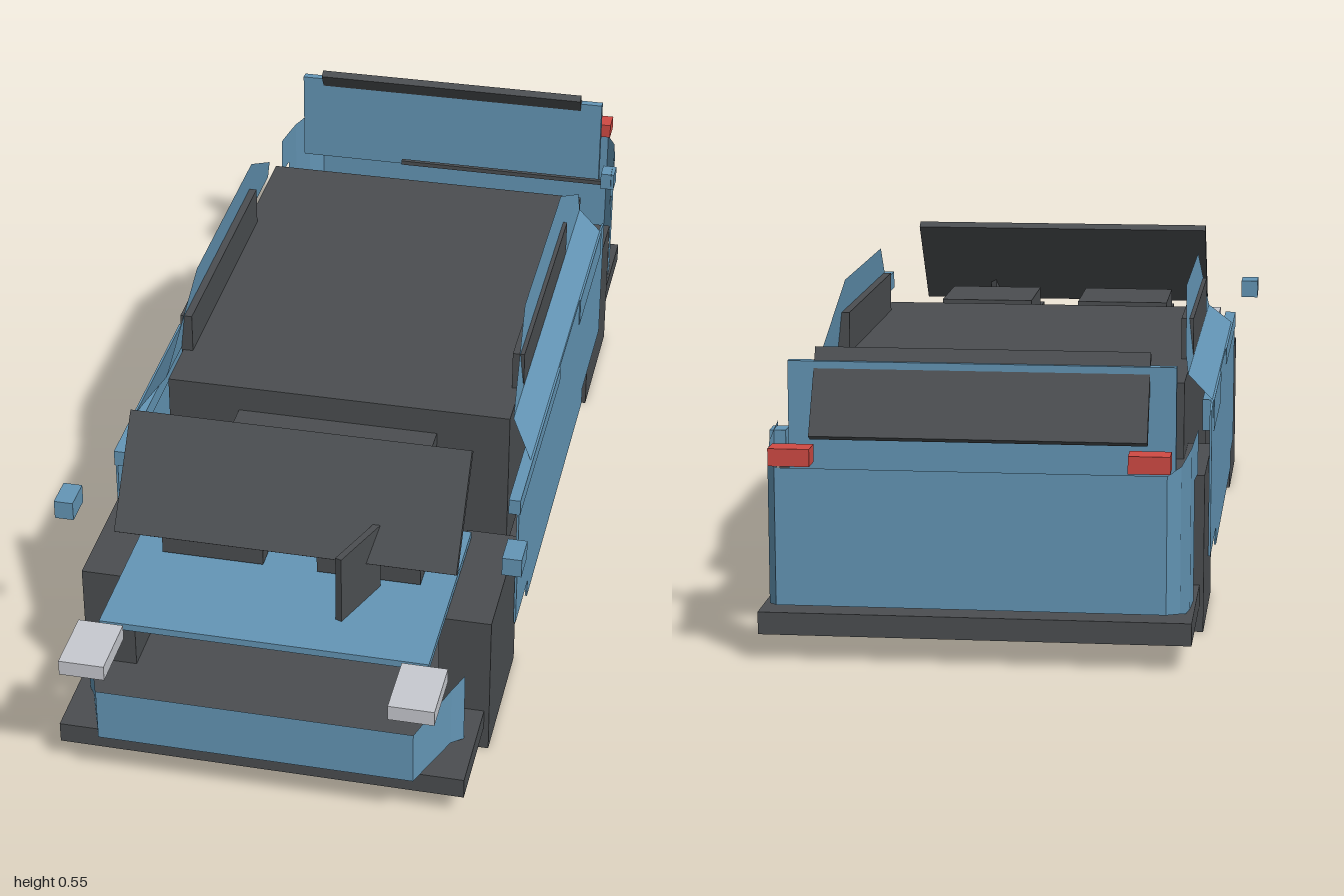
import * as THREE from 'three';

const mat = (name, color, side = THREE.FrontSide) => {
  const m = new THREE.MeshStandardMaterial({ color, side });
  m.name = name;
  return m;
};

export function createModel() {
  const paint = mat('blue paint', 0x6496b6, THREE.DoubleSide);
  const dark = mat('dark grey', 0x4b4e51);
  const lens = mat('light grey', 0xc8cad0);
  const red = mat('red', 0xd04a44);

  const model = new THREE.Group();
  model.name = 'car';

  function add(name, geometry, material) {
    const mesh = new THREE.Mesh(geometry, material);
    mesh.name = name;
    model.add(mesh);
    return mesh;
  }

  // Box given by its limits on each axis
  function box(name, material, [x0, x1], [y0, y1], [z0, z1]) {
    const mesh = add(name, new THREE.BoxGeometry(x1 - x0, y1 - y0, z1 - z0), material);
    mesh.position.set((x0 + x1) / 2, (y0 + y1) / 2, (z0 + z1) / 2);
    return mesh;
  }

  // The same box on both sides
  function pair(name, material, [x0, x1], y, z) {
    box(name + 'Left', material, [x0, x1], y, z);
    box(name + 'Right', material, [-x1, -x0], y, z);
  }

  // Thin sheet between two polylines
  function sheet(name, a, b) {
    const p = [];
    for (let i = 0; i < a.length - 1; i++) {
      p.push(...a[i], ...b[i], ...b[i + 1], ...a[i], ...b[i + 1], ...a[i + 1]);
    }
    const g = new THREE.BufferGeometry();
    g.setAttribute('position', new THREE.Float32BufferAttribute(p, 3));
    g.computeVertexNormals();
    return add(name, g, paint);
  }

  // Wraparound bumper from half-profile stations [x, z, yLow, yHigh]
  function bumper(name, half) {
    const all = [...half.map(([x, ...r]) => [-x, ...r]), ...half.slice().reverse()];
    sheet(name, all.map(([x, z, y]) => [x, y, z]), all.map(([x, z, , y]) => [x, y, z]));
  }

  // Chassis
  box('floor', dark, [-0.36, 0.358], [0.045, 0.083], [-0.945, 0.91]);
  box('underPlate', dark, [-0.229, 0.227], [0.006, 0.045], [-0.385, 0.415]);
  pair('frontWheelBlock', dark, [0.275, 0.367], [0, 0.275], [0.455, 0.72]);
  pair('rearWheelBlock', dark, [0.275, 0.367], [0, 0.275], [-0.69, -0.42]);

  // Cabin and interior
  box('cabin', dark, [-0.324, 0.32], [0.12, 0.41], [-0.558, 0.285]);
  box('dashboard', dark, [-0.19, 0.185], [0.2, 0.36], [0.285, 0.335]);
  for (const [x0, x1] of [[-0.235, -0.052], [0.045, 0.23]]) {
    box('seatBack', dark, [x0, x1], [0.205, 0.4], [0.395, 0.58]);
    box('seatCushion', dark, [x0, x1], [0.295, 0.357], [0.58, 0.66]);
  }
  pair('sideWindow', dark, [0.305, 0.327], [0.39, 0.485], [-0.32, 0.18]);

  // Body sides: door panel, inner rails and leaning window frame
  const doorOutline = [
    [0.48, 0.37], [0.48, 0.1], [0.35, 0.1], [0.35, 0.065],
    [-0.32, 0.065], [-0.32, 0.1], [-0.55, 0.1], [-0.55, 0.36], [-0.5, 0.37],
  ].map(([z, y]) => new THREE.Vector2(-z, y));
  // Rows: y, x, front z, rear z
  const frameRows = [
    [0.37, 0.37, 0.35, -0.5], [0.415, 0.327, 0.288, -0.5],
    [0.45, 0.323, 0.239, -0.5], [0.545, 0.313, 0.105, -0.315],
  ];
  for (const s of [1, -1]) {
    const side = s > 0 ? 'Left' : 'Right';
    const door = add('doorPanel' + side, new THREE.ExtrudeGeometry(
      new THREE.Shape(doorOutline), { depth: 0.004, bevelEnabled: false }), paint);
    door.rotation.y = Math.PI / 2;
    door.position.x = s > 0 ? 0.368 : -0.372;
    sheet('windowFrame' + side,
      frameRows.map(([y, x, z]) => [s * x, y, z]),
      frameRows.map(([y, x, , z]) => [s * x, y, z]));
  }
  pair('frontDoorRail', paint, [0.353, 0.374], [0.34, 0.37], [0.03, 0.48]);
  pair('rearDoorRail', paint, [0.353, 0.374], [0.315, 0.37], [-0.5, -0.22]);

  // Front end
  box('hood', paint, [-0.29, 0.287], [0.277, 0.29], [0.48, 0.87]);
  bumper('frontBumper', [
    [0.337, 0.8, 0.082, 0.22], [0.32, 0.835, 0.098, 0.214], [0.277, 0.95, 0.1, 0.2],
  ]);
  const windshield = add('windshield', new THREE.BoxGeometry(0.608, 0.215, 0.016), dark);
  windshield.position.set(-0.001, 0.447, 0.643);
  windshield.rotation.x = -0.657;
  const fin = add('steeringPlate', new THREE.BoxGeometry(0.012, 0.13, 0.122), dark);
  fin.position.set(0.134, 0.356, 0.727);
  fin.rotation.y = -0.37;
  pair('mirror', paint, [0.38, 0.414], [0.375, 0.41], [0.65, 0.708]);
  pair('headlight', lens, [0.243, 0.322], [0.269, 0.297], [0.883, 1]);

  // Rear end
  bumper('rearBumper', [
    [0.358, -0.745, 0.29, 0.366], [0.355, -0.795, 0.29, 0.361],
    [0.355, -0.796, 0.065, 0.361], [0.352, -0.85, 0.075, 0.354],
    [0.34, -0.93, 0.095, 0.341], [0.32, -0.978, 0.105, 0.335],
  ]);
  box('tailgate', paint, [-0.326, 0.322], [0.3, 0.487], [-0.838, -0.822]);
  const rearWindow = add('rearWindow', new THREE.BoxGeometry(0.56, 0.158, 0.016), dark);
  rearWindow.position.set(-0.002, 0.436, -0.851);
  rearWindow.rotation.x = 0.519;
  box('rearWiper', dark, [-0.1, 0.333], [0.325, 0.334], [-0.781, -0.772]);
  box('fuelCap', paint, [0.335, 0.363], [0.325, 0.36], [-0.795, -0.757]);
  pair('tailLight', red, [0.258, 0.326], [0.342, 0.371], [-1, -0.957]);

  return model;
}
